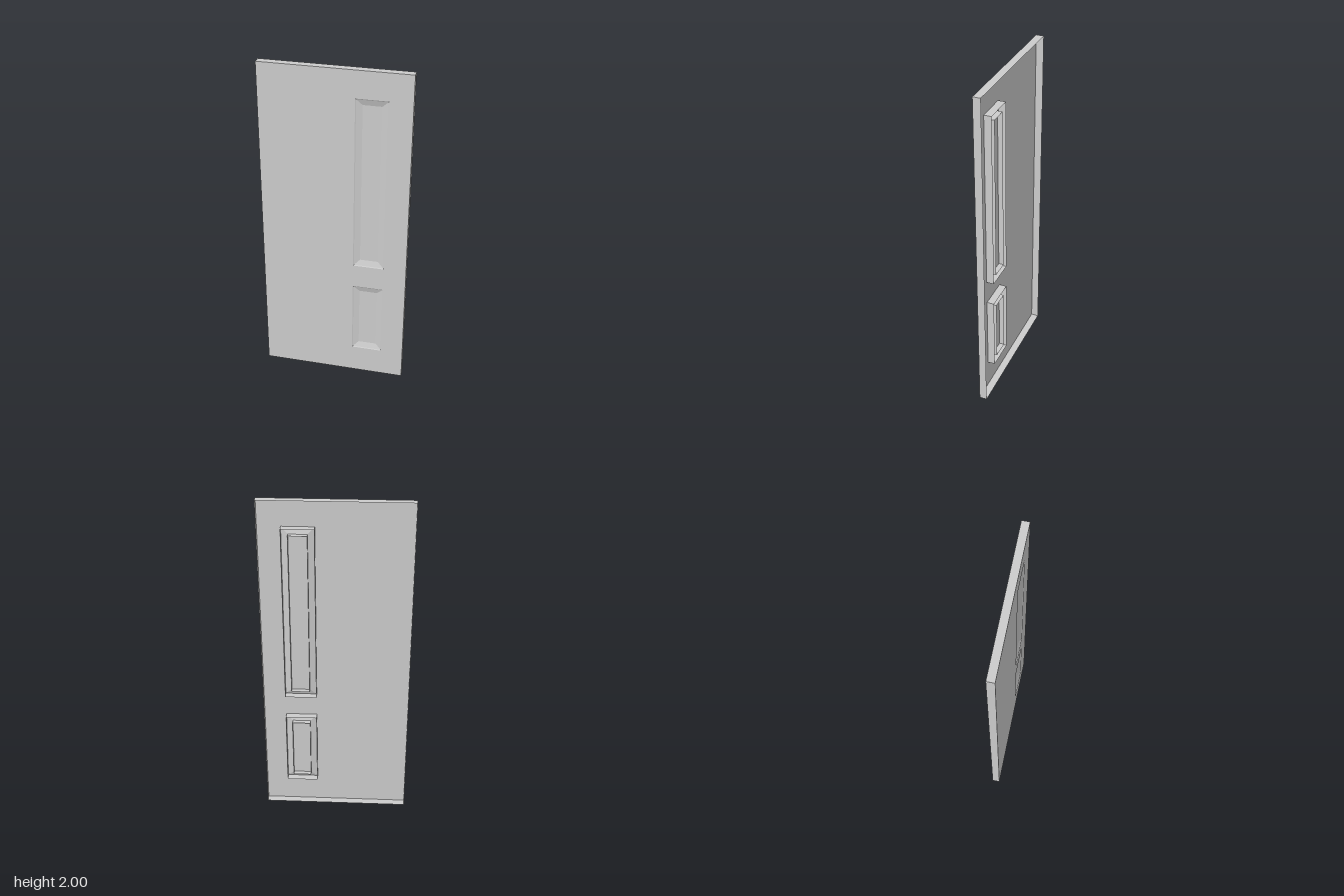
import * as THREE from 'three';

const FRONT = 0.0225, BACK = -0.0225;
const material = new THREE.MeshStandardMaterial({ color: 0xcccccc, side: THREE.DoubleSide, flatShading: true });

// Corners of a rectangle {x0, x1, y0, y1}, moved inward by inset
function corners(r, inset = 0) {
  return [
    [r.x0 + inset, r.y0 + inset], [r.x1 - inset, r.y0 + inset],
    [r.x1 - inset, r.y1 - inset], [r.x0 + inset, r.y1 - inset],
  ];
}

// Mitred strip swept around a rectangle; profile is a list of [inset, z]
function rectSweep(r, profile) {
  const pos = [];
  for (let i = 0; i < profile.length - 1; i++) {
    const [insetA, zA] = profile[i], [insetB, zB] = profile[i + 1];
    const a = corners(r, insetA), b = corners(r, insetB);
    for (let k = 0; k < 4; k++) {
      const n = (k + 1) % 4;
      const A = [...a[k], zA], B = [...a[n], zA], C = [...b[n], zB], D = [...b[k], zB];
      pos.push(...A, ...B, ...C, ...A, ...C, ...D);
    }
  }
  const g = new THREE.BufferGeometry();
  g.setAttribute('position', new THREE.Float32BufferAttribute(pos, 3));
  g.computeVertexNormals();
  return g;
}

function rectPath(r, inset, Type) {
  return new Type(corners(r, inset).map(([x, y]) => new THREE.Vector2(x, y)));
}

function addMesh(parent, name, geometry) {
  const mesh = new THREE.Mesh(geometry, material);
  mesh.name = name;
  parent.add(mesh);
}

export function createModel() {
  const group = new THREE.Group();
  group.name = 'door';

  const door = { x0: -0.431, x1: 0.431, y0: 0, y1: 2 };
  const panels = {
    upperPanel: { x0: 0.115, x1: 0.3, y0: 0.78, y1: 1.84 },
    lowerPanel: { x0: 0.115, x1: 0.3, y0: 0.175, y1: 0.635 },
  };

  // Front sheet with an opening for each panel
  const sheet = rectPath(door, 0, THREE.Shape);
  for (const r of Object.values(panels)) sheet.holes.push(rectPath(r, 0, THREE.Path));
  addMesh(group, 'frontSheet', new THREE.ShapeGeometry(sheet).translate(0, 0, FRONT));

  // Edge returns, open at the back
  addMesh(group, 'doorEdge', rectSweep(door, [[0, BACK], [0, FRONT]]));

  for (const [name, r] of Object.entries(panels)) {
    const panel = new THREE.Group();
    panel.name = name;
    const inset = 0.039, depth = 0.009;
    // Walls behind the opening, then the stepped and sloping moulding
    addMesh(panel, 'outerFrame', rectSweep(r, [[0, BACK + 0.001], [0, FRONT]]));
    addMesh(panel, 'moulding', rectSweep(r, [[0, FRONT], [0.005, FRONT - 0.003], [inset, depth]]));
    // Flat centre and the walls behind it
    addMesh(panel, 'innerFrame', rectSweep(r, [[inset, BACK + 0.002], [inset, depth]]));
    addMesh(panel, 'centre', new THREE.ShapeGeometry(rectPath(r, inset, THREE.Shape)).translate(0, 0, depth));
    group.add(panel);
  }
  return group;
}
